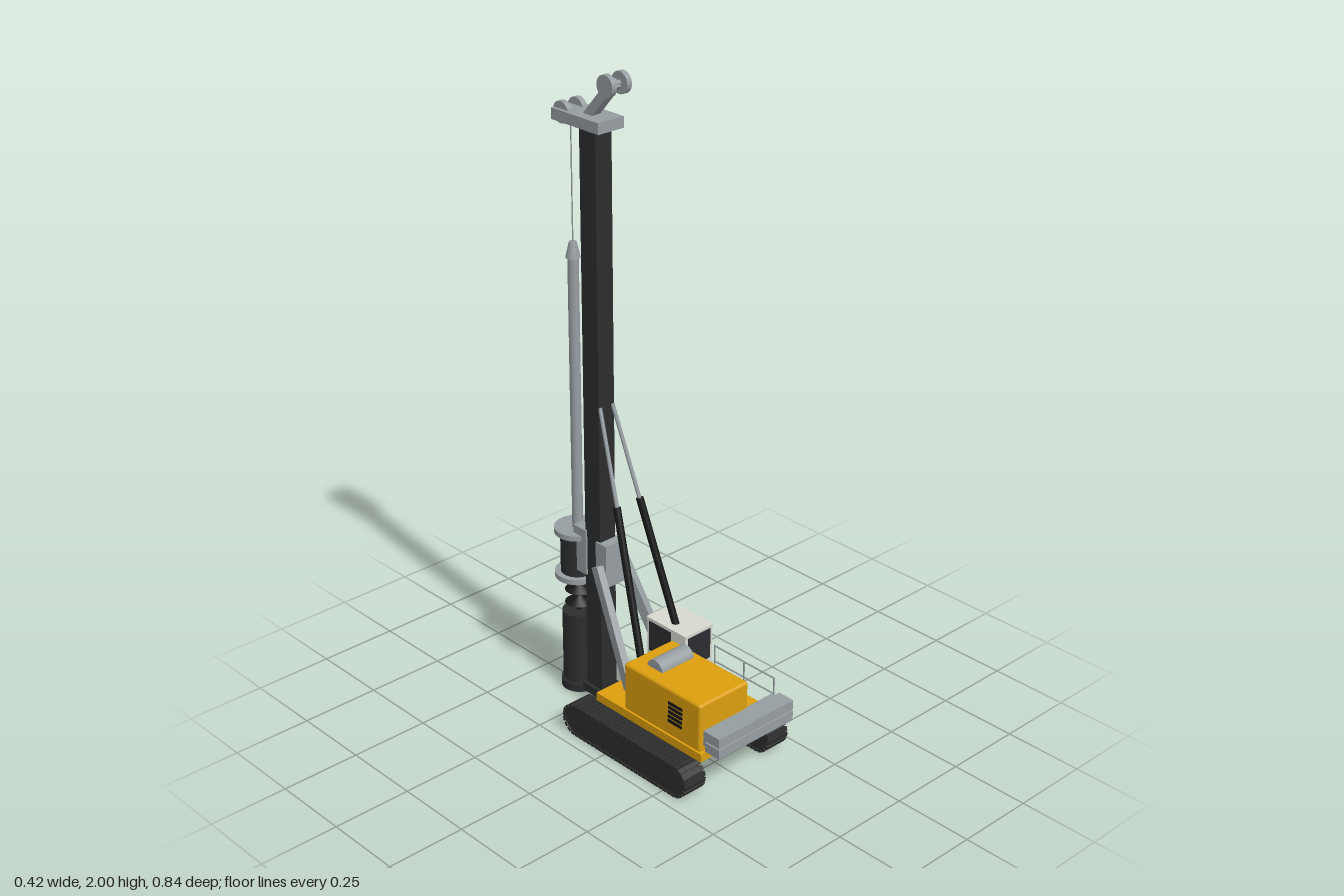
import * as THREE from 'three';
import { RoundedBoxGeometry } from 'three/addons/geometries/RoundedBoxGeometry.js';

const mat = (name, color) => Object.assign(new THREE.MeshStandardMaterial({ color }), { name });

export function createModel() {
  const yellow = mat('yellow paint', 0xdb9e0e);
  const grey = mat('steel grey', 0x969da1);
  const white = mat('cab white', 0xd9d9d2);
  const dark = mat('mast charcoal', 0x2c2d2e);
  const black = mat('black rubber', 0x161616);
  const track = mat('track steel', 0x2d2d2d);
  const glass = mat('dark glass', 0x2b2d30);

  const model = new THREE.Group();
  model.name = 'drillingRig';

  const add = (name, geo, material, x = 0, y = 0, z = 0, parent = model) => {
    const m = new THREE.Mesh(geo, material);
    m.name = name;
    m.position.set(x, y, z);
    parent.add(m);
    return m;
  };
  // box given by its limits on each axis
  const box = (name, material, x0, x1, y0, y1, z0, z1, parent) =>
    add(name, new THREE.BoxGeometry(x1 - x0, y1 - y0, z1 - z0), material,
      (x0 + x1) / 2, (y0 + y1) / 2, (z0 + z1) / 2, parent);
  // upright cylinder or cone
  const post = (name, material, rTop, rBottom, y0, y1, x, z, seg = 24) =>
    add(name, new THREE.CylinderGeometry(rTop, rBottom, y1 - y0, seg), material, x, (y0 + y1) / 2, z);
  // cylinder lying along x
  const roller = (name, material, r, width, x, y, z) => {
    const m = add(name, new THREE.CylinderGeometry(r, r, width, 28), material, x, y, z);
    m.rotation.z = Math.PI / 2;
    return m;
  };
  // round bar between two points
  const rod = (name, material, r, a, b) => {
    const p = new THREE.Vector3(...a), q = new THREE.Vector3(...b);
    const d = q.clone().sub(p);
    const m = add(name, new THREE.CylinderGeometry(r, r, d.length(), 14), material);
    m.position.copy(p).add(q).multiplyScalar(0.5);
    m.quaternion.setFromUnitVectors(new THREE.Vector3(0, 1, 0), d.normalize());
    return m;
  };
  // square beam between two points
  const beam = (name, material, w, h, a, b) => {
    const p = new THREE.Vector3(...a), q = new THREE.Vector3(...b);
    const m = add(name, new THREE.BoxGeometry(w, h, p.distanceTo(q)), material);
    m.position.copy(p).add(q).multiplyScalar(0.5);
    m.lookAt(q);
    return m;
  };

  // crawler tracks: a belt with shoes spaced around it
  const zMid = 0.078, half = 0.213, r = 0.047;
  const beltShape = new THREE.Shape();
  beltShape.absarc(half, 0, r, -Math.PI / 2, Math.PI / 2, false);
  beltShape.absarc(-half, 0, r, Math.PI / 2, Math.PI * 1.5, false);
  beltShape.closePath();
  const beltGeo = new THREE.ExtrudeGeometry(beltShape, { depth: 0.074, bevelEnabled: false, curveSegments: 10 });
  beltGeo.translate(0, 0, -0.037).rotateY(-Math.PI / 2);
  const shoeGeo = new THREE.BoxGeometry(0.082, 0.009, 0.0135);
  const arc = Math.PI * r, straight = 2 * half, loop = 2 * (arc + straight), shoes = 66;
  for (const s of [1, -1]) {
    const g = new THREE.Group();
    g.name = s > 0 ? 'leftTrack' : 'rightTrack';
    g.position.set(s * 0.169, 0.0525, zMid);
    model.add(g);
    add('belt', beltGeo, track, 0, 0, 0, g);
    for (let i = 0; i < shoes; i++) {
      let t = (i / shoes) * loop;
      const back = t >= loop / 2;
      if (back) t -= loop / 2;
      // top run followed by one end; the other half is the same turned round
      const a = t < straight ? 0 : (t - straight) / r;
      let z = t < straight ? t - half : half + Math.sin(a) * (r + 0.001);
      let y = Math.cos(a) * (r + 0.001);
      if (back) { z = -z; y = -y; }
      add('shoe', shoeGeo, track, 0, y, z, g).rotation.x = a + (back ? Math.PI : 0);
    }
  }

  // undercarriage and slewing ring
  box('carBody', track, -0.135, 0.135, 0.038, 0.08, -0.04, 0.2);
  post('carBodyHub', track, 0.075, 0.085, 0.075, 0.106, 0, 0.09);
  post('slewingRing', dark, 0.098, 0.098, 0.1, 0.128, 0, 0.09, 32);

  // upper deck and engine housing
  box('deck', yellow, -0.16, 0.158, 0.125, 0.152, -0.09, 0.355);
  add('engineHousing', new RoundedBoxGeometry(0.194, 0.157, 0.318, 3, 0.009), yellow, -0.057, 0.2265, 0.185);
  roller('exhaustSilencer', grey, 0.032, 0.126, -0.048, 0.302, 0.112);
  for (let i = 0; i < 5; i++)
    box('ventSlat', black, -0.157, -0.152, 0.195 + i * 0.015, 0.204 + i * 0.015, 0.215, 0.272);

  // counterweight slabs
  for (const y of [0.161, 0.197])
    box('counterweightSlab', grey, -0.15, 0.15, y, y + 0.031, 0.362, 0.418);
  box('counterweightCore', grey, -0.14, 0.14, 0.17, 0.218, 0.34, 0.412);

  // cab with window plates
  box('cab', white, 0.04, 0.152, 0.15, 0.328, -0.083, 0.08);
  box('cabRoof', white, 0.039, 0.154, 0.326, 0.336, -0.086, 0.082);
  box('sideWindow', glass, 0.151, 0.1545, 0.225, 0.325, -0.073, 0.073);
  box('innerWindow', glass, 0.0375, 0.041, 0.225, 0.325, -0.073, 0.02);
  box('frontWindow', glass, 0.052, 0.142, 0.225, 0.325, 0.079, 0.0825);
  box('rearWindow', glass, 0.05, 0.142, 0.225, 0.325, -0.086, -0.082);

  // walkway handrail
  for (const z of [0.09, 0.213, 0.336])
    rod('railPost', grey, 0.0025, [0.154, 0.15, z], [0.154, 0.263, z]);
  for (const y of [0.21, 0.263])
    rod('railBar', grey, 0.0025, [0.154, y, 0.088], [0.154, y, 0.338]);

  // mast with guide rails and foot
  box('mast', dark, -0.03, 0.03, 0.04, 1.832, -0.268, -0.212);
  for (const s of [1, -1])
    box('mastRail', dark, s * 0.022 - 0.008, s * 0.022 + 0.008, 0.04, 1.832, -0.278, -0.266);
  box('mastFoot', dark, -0.042, 0.042, 0.02, 0.046, -0.288, -0.2);

  // mast head with pulleys
  box('mastHead', grey, -0.047, 0.047, 1.832, 1.865, -0.375, -0.18);
  beam('pulleyArm', grey, 0.03, 0.028, [0, 1.855, -0.268], [0, 1.97, -0.165]);
  for (const [y, z] of [[1.855, -0.348], [1.968, -0.166]]) {
    for (const s of [1, -1]) roller('pulley', grey, 0.032, 0.017, s * 0.027, y, z);
    roller('pulleyAxle', grey, 0.008, 0.06, 0, y, z);
  }

  // linkage arms, mast bracket and backstay cylinders
  box('mastBracket', grey, -0.036, 0.036, 0.42, 0.56, -0.226, -0.18);
  for (const s of [1, -1]) {
    beam('linkArm', grey, 0.022, 0.036, [s * 0.084, 0.15, -0.022], [s * 0.049, 0.49, -0.205]);
    rod('stayCylinder', black, 0.0115, [s * 0.086, 0.2, 0.045], [s * 0.045, 0.72, -0.12]);
    rod('stayRod', grey, 0.006, [s * 0.045, 0.71, -0.117], [s * 0.024, 1.0, -0.212]);
  }

  // rotary drive on its carriage
  const zd = -0.35;
  box('driveCarriage', grey, -0.036, 0.036, 0.43, 0.58, -0.325, -0.27);
  post('driveTopFlange', grey, 0.07, 0.07, 0.536, 0.553, 0, zd, 36);
  post('driveDrum', dark, 0.052, 0.052, 0.4, 0.54, 0, zd, 32);
  post('driveBottomFlange', grey, 0.07, 0.07, 0.386, 0.403, 0, zd, 36);

  // drill string, auger flights, bucket and hoist cable
  post('drillBar', grey, 0.0165, 0.0165, 0.55, 1.425, 0, -0.347);
  post('drillBarCap', grey, 0.011, 0.022, 1.42, 1.468, 0, -0.347);
  post('hoistCable', grey, 0.002, 0.002, 1.46, 1.85, 0, -0.347, 8);
  post('augerShaft', black, 0.008, 0.008, 0.25, 0.39, 0, -0.347, 12);
  for (const y of [0.293, 0.337]) post('augerFlight', black, 0.008, 0.043, y, y + 0.023, 0, -0.347);
  post('bucket', dark, 0.052, 0.052, 0.012, 0.266, 0, -0.347, 32);
  post('bucketRim', dark, 0.058, 0.058, 0, 0.028, 0, -0.347, 32);

  return model;
}
